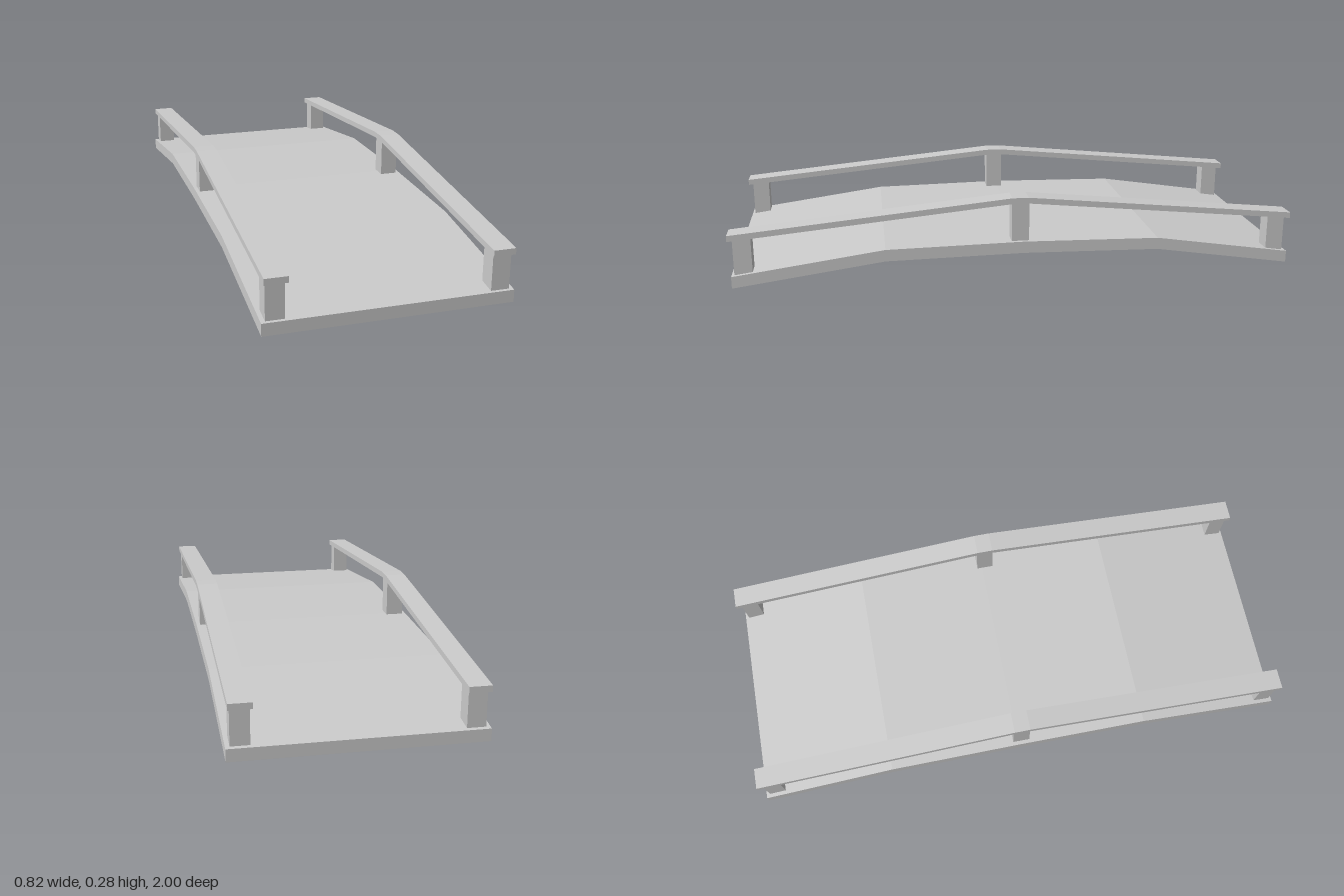
import * as THREE from 'three';

// Extrude a side profile of [z, y] points across x, centred on x = 0
function extrudeAcross(points, width, material) {
  const shape = new THREE.Shape(points.map(([z, y]) => new THREE.Vector2(-z, y)));
  const geometry = new THREE.ExtrudeGeometry(shape, { depth: width, bevelEnabled: false });
  geometry.translate(0, 0, -width / 2);
  geometry.rotateY(Math.PI / 2);
  return new THREE.Mesh(geometry, material);
}

// Closed band between a [z, y] top line and the same line lowered by a thickness
function band(top, thickness) {
  return [...top, ...top.map(([z, y]) => [z, y - thickness]).reverse()];
}

export function createModel() {
  const group = new THREE.Group();
  const material = new THREE.MeshStandardMaterial({ color: 0xcccccc, flatShading: true });

  // Arched walkway in four straight sections
  const deckTop = [[0.993, 0.042], [0.467, 0.115], [-0.02, 0.123], [-0.505, 0.115], [-0.993, 0.042]];
  const deck = extrudeAcross(band(deckTop, 0.042), 0.822, material);
  deck.name = 'deck';
  group.add(deck);

  // Handrail line with a short level crown over the middle post
  const railTop = [[1, 0.187], [0.022, 0.281], [-0.036, 0.281], [-1, 0.187]];

  // Posts: centre z, bottom (sunk slightly into the deck) and top (inside the rail)
  const posts = [
    ['frontPost', 0.952, 0.04, 0.178],
    ['middlePost', -0.008, 0.115, 0.27],
    ['backPost', -0.949, 0.04, 0.178],
  ];

  for (const [label, side] of [['left', 1], ['right', -1]]) {
    const railing = new THREE.Group();
    railing.name = label + 'Railing';
    railing.position.x = side * 0.366;

    const rail = extrudeAcross(band(railTop, 0.021), 0.075, material);
    rail.name = 'handrail';
    railing.add(rail);

    for (const [name, z, bottom, top] of posts) {
      const post = new THREE.Mesh(new THREE.BoxGeometry(0.062, top - bottom, 0.062), material);
      post.name = name;
      post.position.set(0, (top + bottom) / 2, z);
      railing.add(post);
    }
    group.add(railing);
  }
  return group;
}
